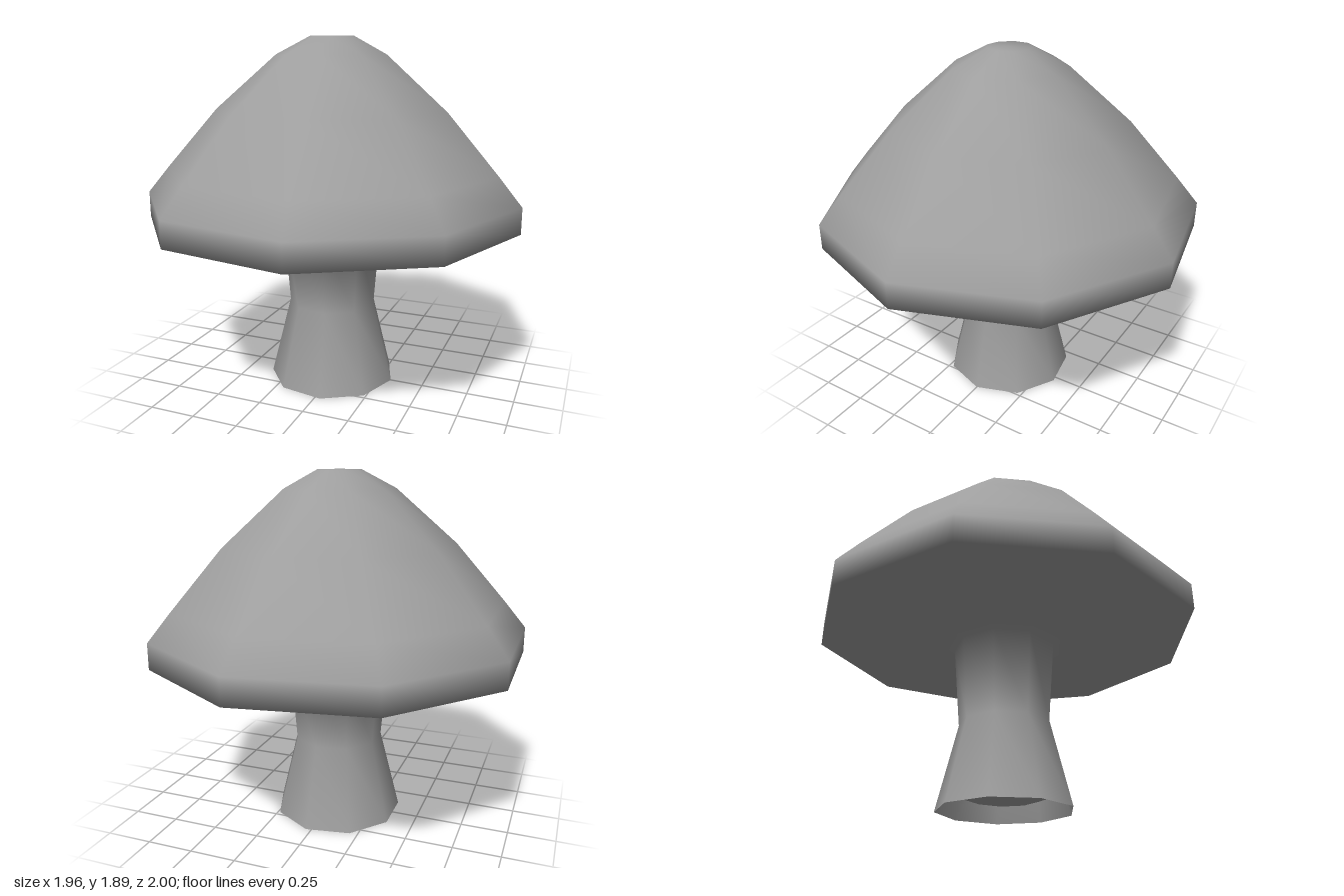
import * as THREE from 'three';
import { mergeVertices } from 'three/addons/utils/BufferGeometryUtils.js';

const SIDES = 9;
const CENTRE_X = -0.031;

// Nine-sided turned body with a corner on +x, welded and smooth all over
function turn(points) {
  const profile = points.map(([r, y]) => new THREE.Vector2(r, y));
  const lathe = new THREE.LatheGeometry(profile, SIDES, Math.PI / 2);
  lathe.deleteAttribute('normal');
  lathe.deleteAttribute('uv');
  const welded = mergeVertices(lathe, 1e-4);
  welded.computeVertexNormals();
  return welded;
}

// Keep only the bands from..to of a turned body, so neighbouring parts share smooth normals
function bands(geometry, perSide, from, to) {
  const part = geometry.clone();
  const kept = Array.from(geometry.index.array).filter((_, k) => {
    const band = Math.floor(k / 6) % perSide;
    return band >= from && band < to;
  });
  part.setIndex(kept);
  return part;
}

export function createModel() {
  const group = new THREE.Group();
  group.name = 'mushroom';
  // The stem is open at the foot, so its inner side shows too
  const material = new THREE.MeshStandardMaterial({ color: 0x9e9e9e, side: THREE.DoubleSide });

  const add = (name, geometry) => {
    const mesh = new THREE.Mesh(geometry, material);
    mesh.name = name;
    mesh.position.x = CENTRE_X;
    group.add(mesh);
  };

  // Profile from the foot, along the underside, over the rim to the crown
  const profile = [
    [0.35, 0], [0.24, 0.44], [0.275, 0.87],
    [1.013, 0.917], [1.013, 1.055], [0.893, 1.2],
    [0.622, 1.51], [0.298, 1.793], [0.118, 1.887], [0, 1.887],
  ];
  const body = turn(profile);
  const perSide = profile.length - 1;
  add('stem', bands(body, perSide, 0, 2));
  add('cap', bands(body, perSide, 2, perSide));

  // Slightly domed underside, set back inside the foot
  add('footUnderside', turn([[0, 0.04], [0.18, 0.06], [0.322, 0.11]]));

  return group;
}
